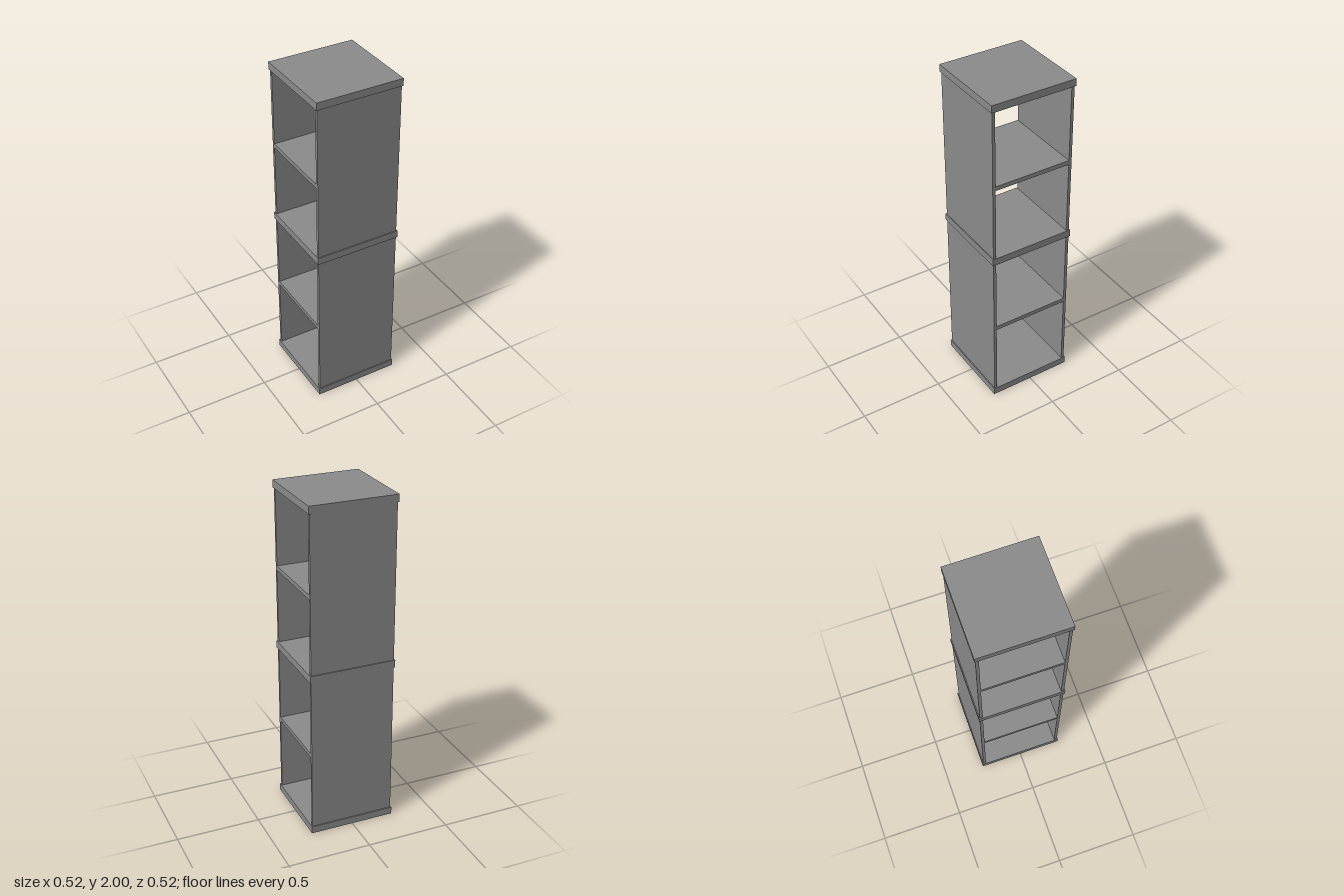
import * as THREE from 'three';

const SIZE = 0.518;      // square slab width
const SLAB = 0.044;      // slab thickness
const OUTER = 0.253;     // outer face of the side panels
const PANEL = 0.018;     // panel thickness
const SHELF = 0.026;     // shelf thickness

export function createModel() {
  const model = new THREE.Group();
  model.name = 'shelfTower';
  const grey = new THREE.MeshStandardMaterial({ color: 0x8c8c8c, side: THREE.DoubleSide });
  grey.name = 'grey';

  const add = (name, geometry, y, z = 0) => {
    const mesh = new THREE.Mesh(geometry, grey);
    mesh.name = name;
    mesh.position.set(0, y, z);
    model.add(mesh);
  };

  // Base: hollow plinth, open underneath (bottom face, indices 18-23, left out)
  const base = new THREE.BoxGeometry(SIZE, SLAB, SIZE);
  const index = Array.from(base.index.array);
  index.splice(18, 6);
  base.setIndex(index);
  base.clearGroups();
  add('base', base, SLAB / 2);

  // Middle and top slabs
  const slab = new THREE.BoxGeometry(SIZE, SLAB, SIZE);
  add('middleSlab', slab, 1.007);
  add('topSlab', slab, 2 - SLAB / 2);

  // Each tier: front and back panels with one shelf between them
  const tiers = [
    { name: 'lower', bottom: SLAB, top: 0.985, shelf: 0.514 },
    { name: 'upper', bottom: 1.029, top: 2 - SLAB, shelf: 1.489 },
  ];
  for (const { name, bottom, top, shelf } of tiers) {
    const panel = new THREE.BoxGeometry(OUTER * 2, top - bottom, PANEL);
    const z = OUTER - PANEL / 2;
    add(name + 'FrontPanel', panel, (bottom + top) / 2, z);
    add(name + 'BackPanel', panel, (bottom + top) / 2, -z);
    const board = new THREE.BoxGeometry(OUTER * 2, SHELF, (OUTER - PANEL) * 2);
    add(name + 'Shelf', board, shelf);
  }
  return model;
}
